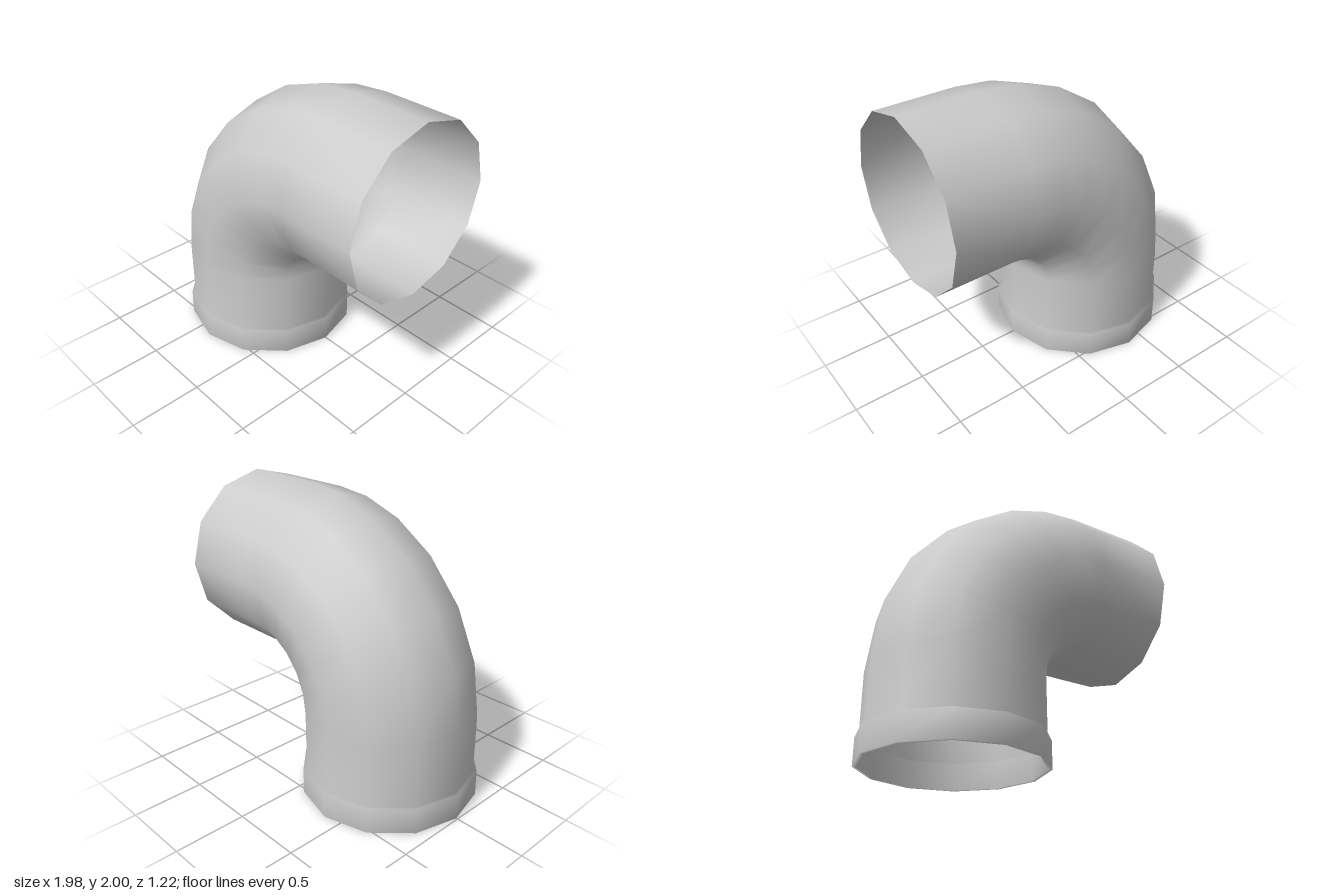
import * as THREE from 'three';

const SIDES = 12;
const PIPE_R = 0.585, COLLAR_R = 0.61, COLLAR_H = 0.185;
const BEND_R = 0.8, BEND_X = 0.42, BEND_Y = 0.615, MOUTH_X = 0.985;

// One ring across the pipe: centre, bend angle (0 = upright, 90 = level) and radius
function ring(x, y, degrees, radius) {
  const t = THREE.MathUtils.degToRad(degrees);
  return { x, y, nx: -Math.cos(t), ny: Math.sin(t), radius };
}

// Smooth skin through a row of rings
function sweep(rings) {
  const positions = [], index = [];
  rings.forEach((r, j) => {
    for (let i = 0; i < SIDES; i++) {
      const a = (i / SIDES) * Math.PI * 2;
      const out = r.radius * Math.cos(a);
      positions.push(r.x + r.nx * out, r.y + r.ny * out, r.radius * Math.sin(a));
      if (j === rings.length - 1) continue;
      const k = (i + 1) % SIDES, lo = j * SIDES, hi = lo + SIDES;
      index.push(lo + i, lo + k, hi + k, lo + i, hi + k, hi + i);
    }
  });
  const geometry = new THREE.BufferGeometry();
  geometry.setAttribute('position', new THREE.Float32BufferAttribute(positions, 3));
  geometry.setIndex(index);
  geometry.computeVertexNormals();
  return geometry;
}

export function createModel() {
  const group = new THREE.Group();
  group.name = 'pipeElbow';
  const material = new THREE.MeshStandardMaterial({ color: 0xcccccc, side: THREE.DoubleSide });
  const baseX = BEND_X - BEND_R;

  // Collar: inner wall, bottom rim, outer wall and top ledge
  const rings = [
    ring(baseX, COLLAR_H, 0, PIPE_R),
    ring(baseX, 0, 0, PIPE_R),
    ring(baseX, 0, 0, COLLAR_R),
    ring(baseX, COLLAR_H, 0, COLLAR_R),
    ring(baseX, COLLAR_H, 0, PIPE_R),
  ];

  // Quarter bend
  for (const degrees of [0, 16.2, 32.7, 49.5, 64.8, 78.3, 90]) {
    const t = THREE.MathUtils.degToRad(degrees);
    rings.push(ring(BEND_X - BEND_R * Math.cos(t), BEND_Y + BEND_R * Math.sin(t), degrees, PIPE_R));
  }

  // Open mouth
  rings.push(ring(MOUTH_X, BEND_Y + BEND_R, 90, PIPE_R));

  const pipe = new THREE.Mesh(sweep(rings), material);
  pipe.name = 'collaredElbowPipe';
  group.add(pipe);
  return group;
}
